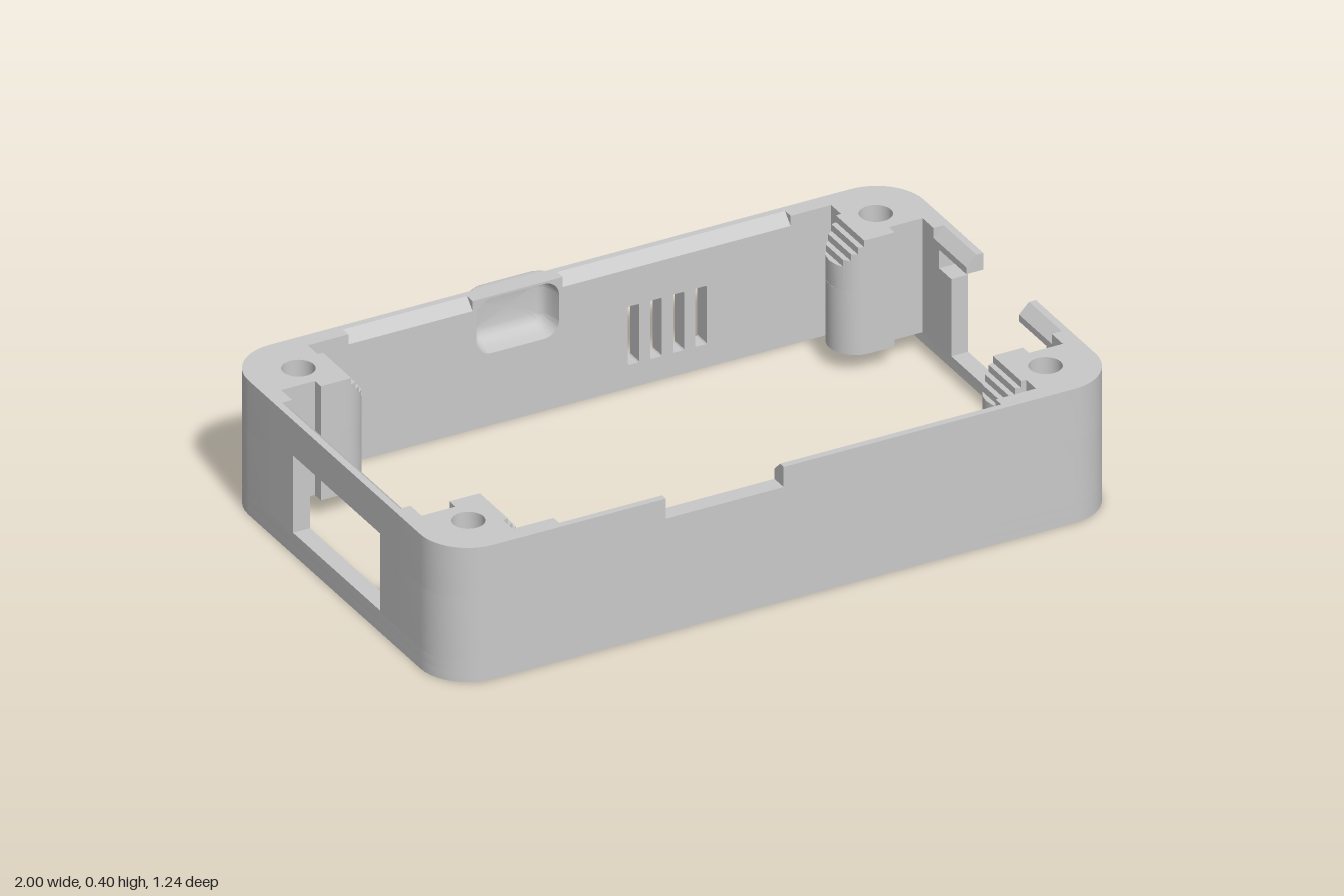
import * as THREE from 'three';
import { toCreasedNormals } from 'three/addons/utils/BufferGeometryUtils.js';

const H = 0.605;                // half depth of the frame
const R = 0.14;                 // outer corner radius
const T = 0.05;                 // wall thickness
const YR = 0.03, Y0 = 0.06;     // top of the rim, bottom of the posts
const YC = 0.37, Y1 = 0.4;      // chamfer start, top

const grey = new THREE.MeshStandardMaterial({ color: 0xc9c9c9 });
grey.name = 'grey plastic';

// Vectors in the wanted turning direction
function oriented(points, clockwise) {
  const list = points.map(([x, y]) => new THREE.Vector2(x, y));
  return THREE.ShapeUtils.isClockWise(list) === clockwise ? list : list.reverse();
}

function extrude(points, depth, holes = []) {
  const shape = new THREE.Shape(oriented(points, false));
  holes.forEach(h => shape.holes.push(new THREE.Path(oriented(h, true))));
  return new THREE.ExtrudeGeometry(shape, { depth, bevelEnabled: false });
}

// Points of a rounded rectangle
function roundRect(cx, cy, hw, hh, r, n = 10) {
  const pts = [];
  [[1, 1], [-1, 1], [-1, -1], [1, -1]].forEach(([sx, sy], q) => {
    for (let i = 0; i <= n; i++) {
      const a = (q + i / n) * Math.PI / 2;
      pts.push([cx + sx * (hw - r) + r * Math.cos(a), cy + sy * (hh - r) + r * Math.sin(a)]);
    }
  });
  return pts;
}

// Plan outline (x, z) raised from y0 to y1
function slab(points, y0, y1, holes = []) {
  const flip = list => list.map(([x, z]) => [x, -z]);
  return extrude(flip(points), y1 - y0, holes.map(flip)).rotateX(-Math.PI / 2).translate(0, y0, 0);
}

// Pillow from rings [inset, z] running towards -z, closed at the last ring
function pillow(cx, cy, hw, hh, r, rings, inward) {
  const pos = [], idx = [];
  const n = 44, last = rings.length - 1;
  rings.forEach(([inset, z]) => {
    roundRect(cx, cy, hw - inset, hh - inset, Math.max(r - inset, 0.01)).forEach(([x, y]) => pos.push(x, Math.min(y, Y1), z));
  });
  pos.push(cx, cy, rings[last][1]);
  const tri = (a, b, c) => (inward ? idx.push(a, b, c) : idx.push(a, c, b));
  for (let k = 0; k <= last; k++) {
    for (let i = 0; i < n; i++) {
      const j = (i + 1) % n, a = k * n + i, b = k * n + j;
      if (k === last) { tri(a, b, n * (last + 1)); continue; }
      tri(a, b, b + n);
      tri(a, b + n, a + n);
    }
  }
  const g = new THREE.BufferGeometry();
  g.setAttribute('position', new THREE.Float32BufferAttribute(pos, 3));
  g.setIndex(idx);
  return g.toNonIndexed();
}

export function createModel() {
  const model = new THREE.Group();
  model.name = 'enclosureFrame';
  const body = new THREE.Group();
  body.name = 'frame';
  body.position.z = 0.014;
  model.add(body);

  function add(name, geometry) {
    const mesh = new THREE.Mesh(toCreasedNormals(geometry, 0.6), grey);
    mesh.name = name;
    body.add(mesh);
    return mesh;
  }

  // Thin rim at the bottom, stepping in to the full wall thickness
  const ring = inset => roundRect(0, 0, 1 - inset, H - inset, R - inset);
  add('bottomRim', slab(ring(0), 0, YR, [ring(0.025)]));
  add('wallBase', slab(ring(0), YR, Y0, [ring(T)]));

  // Corners: screw hole from above in the post, from below in the lobe
  const EX = 0.655, EZ = 0.32, LX = 0.775, LZ = 0.425, LR = 0.077, YM = 0.25;
  for (const sx of [1, -1]) for (const sz of [1, -1]) {
    const mirror = list => list.map(([x, z]) => [sx * x, sz * z]);
    const outer = [[EX, H]], lobe = [];
    for (let i = 0; i <= 12; i++) {
      const a = Math.PI / 2 * (1 - i / 12);
      outer.push([1 - R + R * Math.cos(a), H - R + R * Math.sin(a)]);
    }
    for (let i = 1; i <= 20; i++) {
      const a = Math.PI * i / 20;
      lobe.push([LX - LR * Math.sin(a), LZ - LR * Math.cos(a)]);
    }
    outer.push([1, EZ], [1 - T, EZ], [1 - T, 0.38], [0.85, 0.38], [0.85, LZ - LR], [LX, LZ - LR]);
    const inner = [[LX, H - T], [EX, H - T]];
    const hole = (x, z) => [mirror(roundRect(x, z, 0.045, 0.045, 0.045, 6))];
    add('cornerPostLower', slab(mirror([...outer, ...lobe, ...inner]), Y0, YM, hole(LX, LZ)));
    add('cornerPostUpper', slab(mirror([...outer, ...inner]), YM, Y1, hole(0.855, 0.46)));

    // Top of the lobe steps down towards the inside
    const steps = 5;
    for (let s = 0; s < steps; s++) {
      const near = [], far = [];
      for (let i = 0; i <= 4; i++) {
        const d = LR * (s + i / 4) / steps;
        const w = Math.sqrt(Math.max(LR * LR - d * d, 1e-8));
        near.push([LX - d, LZ - w]);
        far.unshift([LX - d, LZ + w]);
      }
      add('postStep', slab(mirror([...near, ...far]), YM, Y1 - 0.02 * s));
    }
  }

  // Chamfered top strip; the profile runs from the outer face inwards
  function lip(name, length, angle, x, z) {
    const g = extrude([[0, YC], [T, YC], [0.02, Y1], [0, Y1]], length).translate(0, 0, -length / 2);
    const mesh = add(name, g);
    mesh.rotation.y = angle;
    mesh.position.set(x, 0, z);
  }

  // Front wall with a notch
  add('frontWall', extrude([[-EX, Y0], [EX, Y0], [EX, YC], [0, YC], [0, 0.34], [-0.35, 0.34], [-0.35, YC], [-EX, YC]], T)
    .translate(0, 0, H - T));
  lip('frontLip', EX - 0.35, Math.PI / 2, -(EX + 0.35) / 2, H);
  lip('frontLip', EX, Math.PI / 2, EX / 2, H);

  // Back wall with vent slots and an opening for the bulge
  const vents = [0.39, 0.323, 0.256, 0.189].map(x => roundRect(x, 0.172, 0.017, 0.087, 0.003, 1));
  const BX = -0.153;
  add('backWall', extrude([[-EX, Y0], [EX, Y0], [EX, YC], [-0.02, YC], [-0.02, Y1], [-0.287, Y1], [-0.287, YC], [-EX, YC]],
    T, [...vents, roundRect(BX, 0.312, 0.122, 0.082, 0.045)]).translate(0, 0, -H));
  lip('backLip', EX - 0.287, -Math.PI / 2, -(EX + 0.287) / 2, -H);
  lip('backLip', EX + 0.02, -Math.PI / 2, (EX - 0.02) / 2, -H);

  // Hollow bulge on the back wall
  add('bulge', pillow(BX, 0.313, 0.133, 0.1, 0.06,
    [[0, -H + 0.001], [0.006, -H - 0.01], [0.015, -H - 0.019], [0.03, -H - 0.027], [0.05, -H - 0.031]], false));
  add('bulgeRecess', pillow(BX, 0.312, 0.122, 0.082, 0.045,
    [[0, -H + T], [0.004, -H + 0.025], [0.01, -H + 0.005], [0.018, -H - 0.008], [0.03, -H - 0.015], [0.042, -H - 0.018]], true));

  // Right wall with a closed window
  const turn = Math.PI / 2, W0 = -0.246, W1 = 0.224;
  add('rightWall', extrude([[-EZ, Y0], [EZ, Y0], [EZ, YC], [-EZ, YC]], T,
    [[[W0, 0.065], [W1, 0.065], [W1, 0.295], [W0, 0.295]]]).rotateY(turn).translate(-1, 0, 0));
  lip('rightLip', 2 * EZ, 0, -1, 0);

  // Left wall with a window open to the top between two arms
  const side = (s, w) => [[EZ, Y0], [EZ, YC], [0.1425, YC], [0.1425, 0.35], [0.29, 0.35], [0.29, 0.295], [w, 0.295], [w, 0.065]]
    .map(([u, y]) => [s * u, y]);
  add('leftWall', extrude([...side(1, W1), ...side(-1, -W0).reverse()], T).rotateY(turn).translate(1 - T, 0, 0));
  for (const s of [1, -1]) lip('leftArmLip', EZ - 0.1425, Math.PI, 1, s * (EZ + 0.1425) / 2);

  return model;
}
